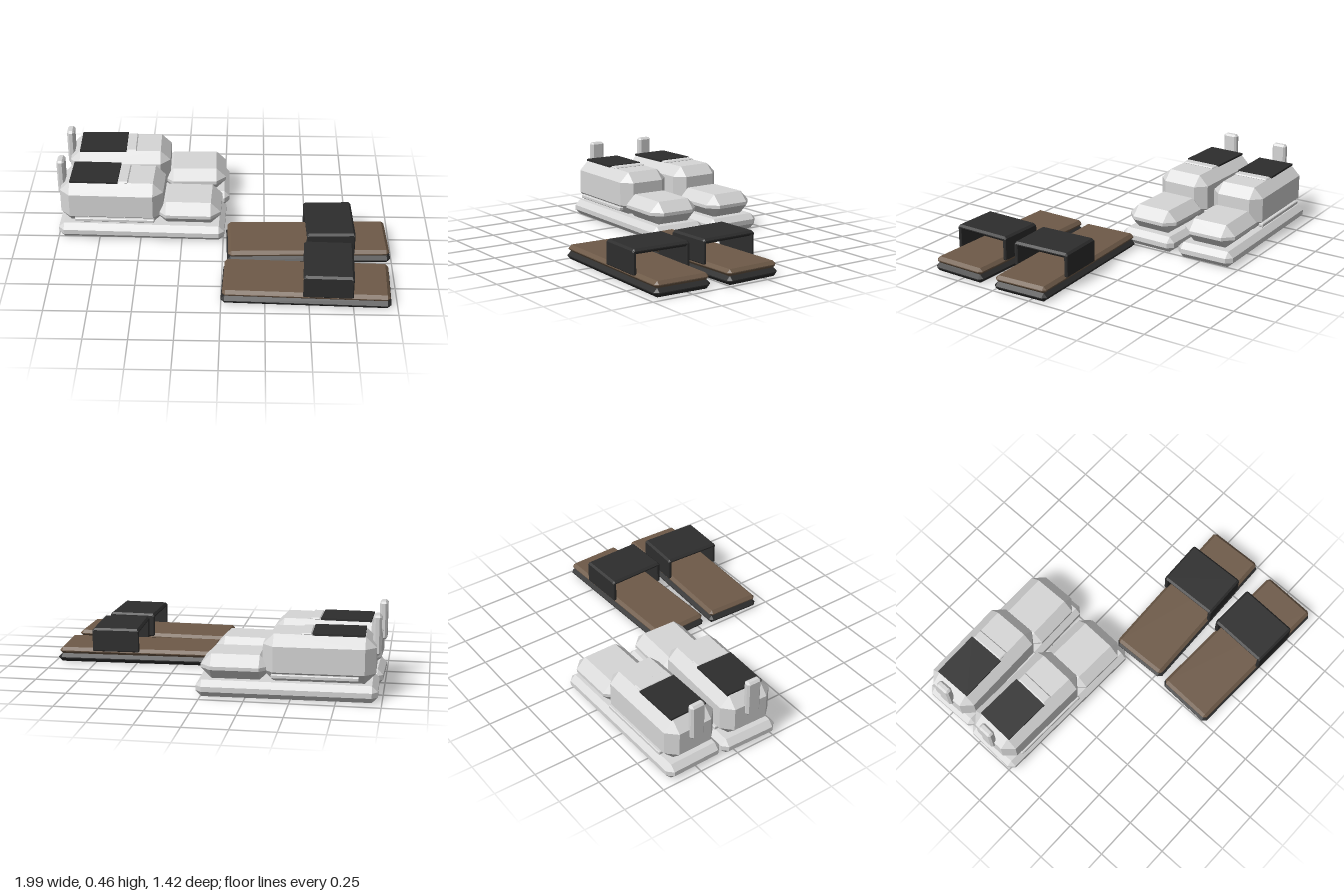
import * as THREE from 'three';
import { ConvexGeometry } from 'three/addons/geometries/ConvexGeometry.js';

const material = (name, color) => {
  const m = new THREE.MeshStandardMaterial({ color });
  m.name = name;
  return m;
};

// Box with every edge cut by a single flat bevel of size c
function bevelBox(w, h, d, c) {
  const b = Math.min(c, 0.47 * Math.min(w, h, d));
  const [x, y, z] = [w / 2, h / 2, d / 2];
  const points = [];
  for (const i of [-1, 1]) for (const j of [-1, 1]) for (const k of [-1, 1]) {
    points.push(
      new THREE.Vector3(i * x, j * (y - b), k * (z - b)),
      new THREE.Vector3(i * (x - b), j * y, k * (z - b)),
      new THREE.Vector3(i * (x - b), j * (y - b), k * z)
    );
  }
  return new ConvexGeometry(points);
}

// Adds a box given its centre x, bottom and top y, centre z, length, width and bevel
function addBox(group, name, mat, x, y0, y1, z, length, width, bevel) {
  const geometry = bevel
    ? bevelBox(length, y1 - y0, width, bevel)
    : new THREE.BoxGeometry(length, y1 - y0, width);
  const mesh = new THREE.Mesh(geometry, mat);
  mesh.name = name;
  mesh.position.set(x, (y0 + y1) / 2, z);
  group.add(mesh);
}

// Sneaker with its toe towards +x
function createSneaker(mats) {
  const g = new THREE.Group();
  addBox(g, 'sneakerSole', mats.grey, 0, 0, 0.095, 0, 1.005, 0.362, 0.033);
  addBox(g, 'sneakerUpper', mats.grey, -0.177, 0.095, 0.36, 0, 0.622, 0.33, 0.06);
  addBox(g, 'toeCap', mats.grey, 0.285, 0.095, 0.235, 0, 0.39, 0.33, 0.06);
  addBox(g, 'heelTab', mats.grey, -0.487, 0.238, 0.463, 0.005, 0.045, 0.09, 0.012);
  addBox(g, 'ankleOpening', mats.black, -0.282, 0.358, 0.37, 0, 0.288, 0.23);
  addBox(g, 'lace', mats.grey, -0.105, 0.355, 0.368, 0, 0.06, 0.215, 0.006);
  for (const side of [-1, 1])
    addBox(g, 'sideStrip', mats.grey, -0.158, 0.122, 0.145, side * 0.16, 0.48, 0.03, 0.004);
  return g;
}

// Slide sandal with a wide strap arching over the toe end
function createSandal(mats) {
  const g = new THREE.Group();
  addBox(g, 'sandalSole', mats.black, 0, 0, 0.05, 0, 0.965, 0.352, 0.022);
  addBox(g, 'footbed', mats.brown, 0, 0.046, 0.087, 0, 0.95, 0.34, 0.018);
  addBox(g, 'strapTop', mats.black, 0.125, 0.186, 0.216, 0, 0.285, 0.36, 0.012);
  for (const side of [-1, 1])
    addBox(g, 'strapSide', mats.black, 0.125, 0.073, 0.206, side * 0.169, 0.283, 0.022, 0.005);
  return g;
}

export function createModel() {
  const mats = {
    grey: material('light grey', 0xd6d6d6),
    black: material('soft black', 0x2d2d2d),
    brown: material('leather brown', 0x6e5a48),
  };
  const model = new THREE.Group();
  model.name = 'footwear';

  // Each shoe: name, builder, x, z, turn about the vertical axis
  const shoes = [
    ['backSneaker', createSneaker, -0.473, -0.522, 0.018],
    ['frontSneaker', createSneaker, -0.492, -0.14, -0.028],
    ['backSandal', createSandal, 0.505, 0.096, 0.034],
    ['frontSandal', createSandal, 0.486, 0.514, -0.035],
  ];
  for (const [name, build, x, z, turn] of shoes) {
    const shoe = build(mats);
    shoe.name = name;
    shoe.position.set(x, 0, z);
    shoe.rotation.y = turn;
    model.add(shoe);
  }
  return model;
}
